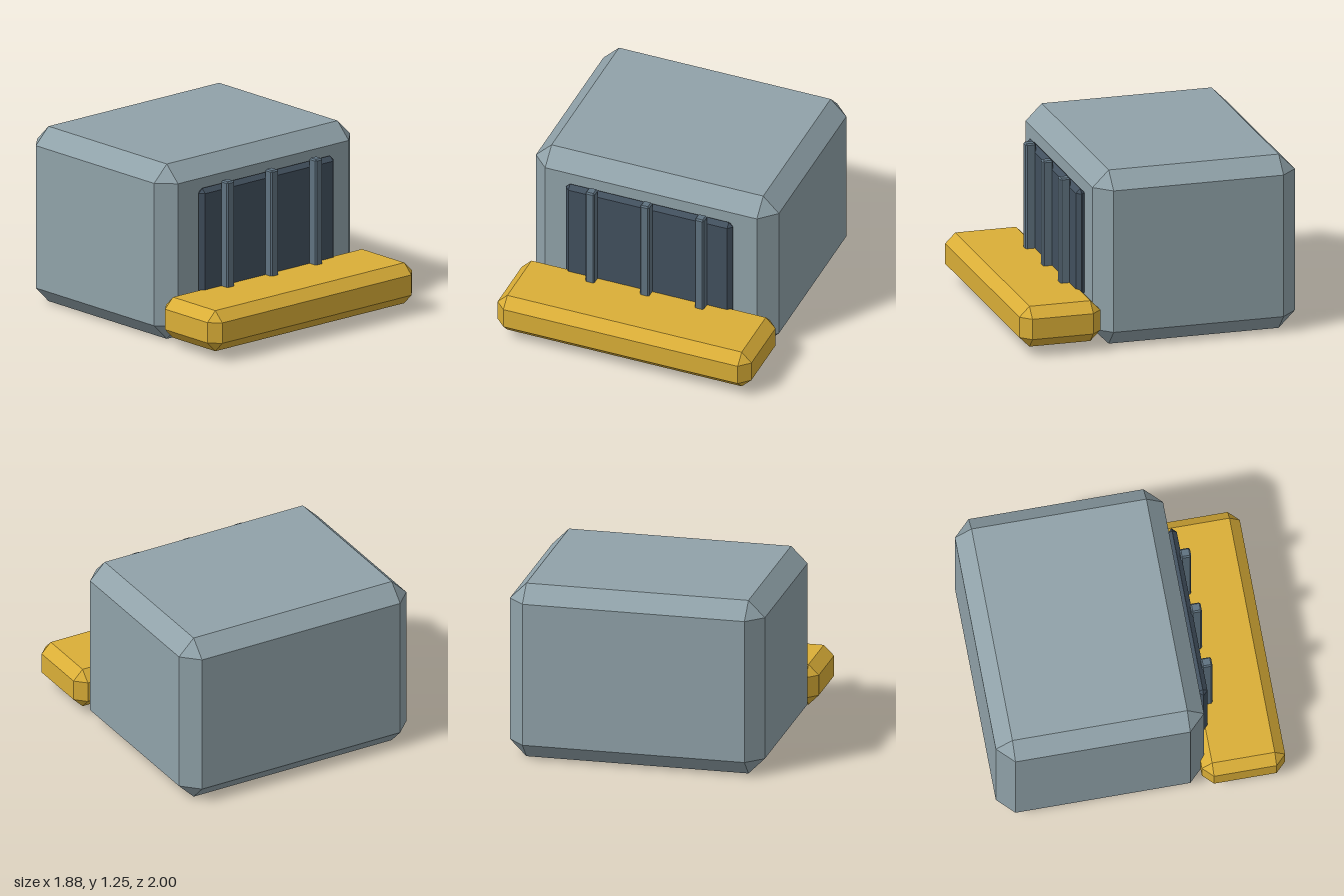
import * as THREE from 'three';
import { ConvexGeometry } from 'three/addons/geometries/ConvexGeometry.js';

function material(name, color) {
  const m = new THREE.MeshStandardMaterial({ color });
  m.name = name;
  return m;
}

// Box between two corners with every edge cut at 45 degrees by c
function chamferBox(name, mat, min, max, c) {
  const half = min.map((v, i) => (max[i] - v) / 2);
  const points = [];
  for (const sx of [-1, 1]) for (const sy of [-1, 1]) for (const sz of [-1, 1]) {
    const s = [sx, sy, sz];
    // three points per corner, each lying on one of the main faces
    for (let face = 0; face < 3; face++) {
      points.push(new THREE.Vector3(...s.map((v, i) => v * (half[i] - (i === face ? 0 : c)))));
    }
  }
  const mesh = new THREE.Mesh(new ConvexGeometry(points), mat);
  mesh.position.set(...min.map((v, i) => (v + max[i]) / 2));
  mesh.name = name;
  return mesh;
}

export function createModel() {
  const group = new THREE.Group();
  group.name = 'chamferedHousing';

  const bodyGrey = material('blue grey', 0x90a2a9);
  const panelBlue = material('dark slate', 0x42505e);
  const barBlue = material('slate', 0x5f7280);
  const yellow = material('amber', 0xdaae37);

  // Main housing
  group.add(chamferBox('body', bodyGrey, [-0.9, 0, -1], [0.9, 1.25, 0.45], 0.116));

  // Front bumper ledge
  group.add(chamferBox('bumper', yellow, [-0.94, 0.06, 0.42], [0.94, 0.35, 1], 0.072));

  // Grille panel and its upright bars
  group.add(chamferBox('grillePanel', panelBlue, [-0.62, 0.29, 0.445], [0.62, 1.07, 0.51], 0.032));
  for (const x of [-0.405, 0, 0.405]) {
    group.add(chamferBox('grilleBar', barBlue, [x - 0.034, 0.26, 0.5], [x + 0.034, 1.103, 0.573], 0.01));
  }

  return group;
}
